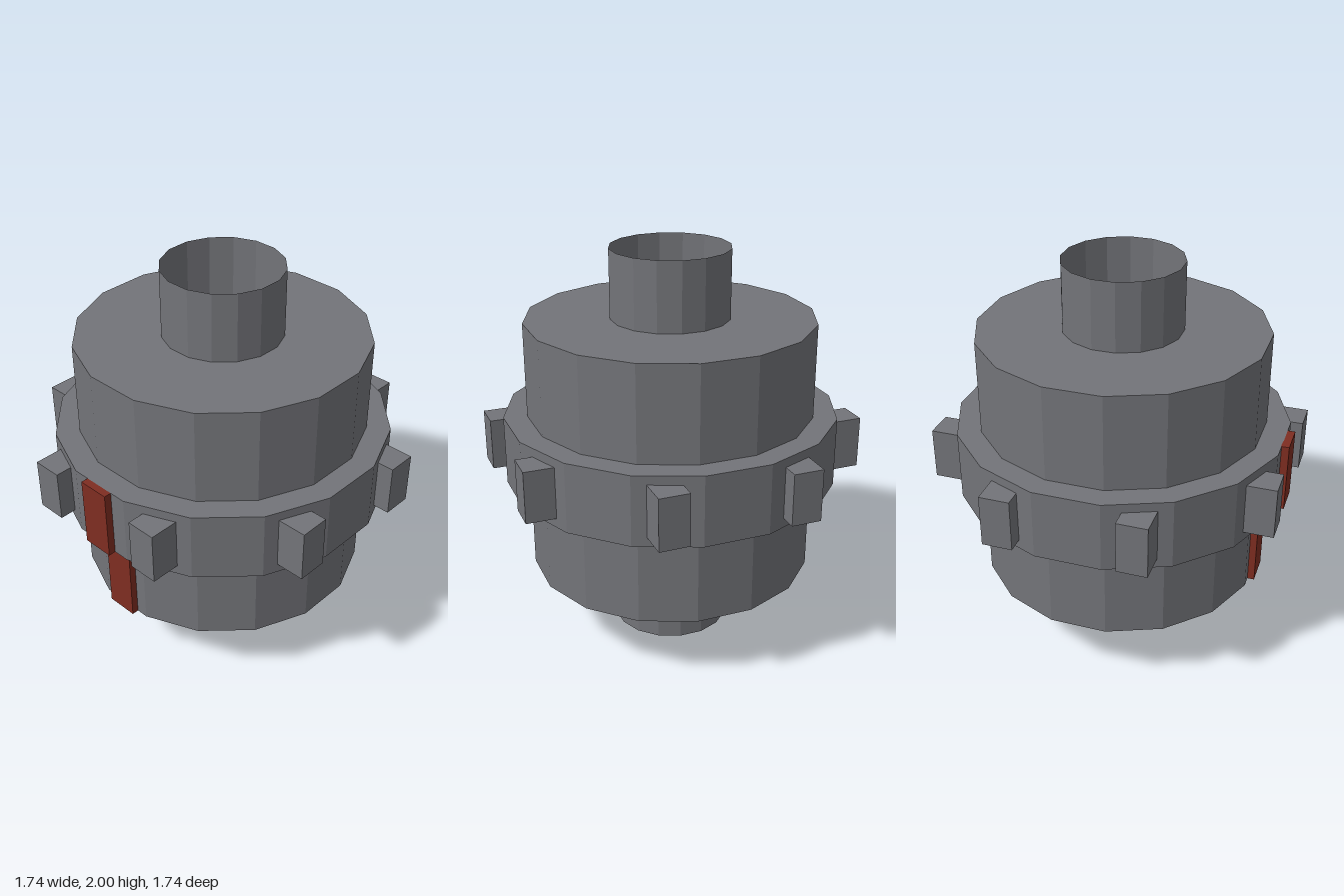
import * as THREE from 'three';

const SIDES = 16;

export function createModel() {
  const group = new THREE.Group();
  const steel = new THREE.MeshStandardMaterial({ color: 0x737479, flatShading: true, side: THREE.DoubleSide });
  steel.name = 'steel grey';
  const red = new THREE.MeshStandardMaterial({ color: 0x7f2d21, flatShading: true });
  red.name = 'rust red';

  const add = (name, geometry, material, x, y, z) => {
    const mesh = new THREE.Mesh(geometry, material);
    mesh.name = name;
    mesh.position.set(x, y, z);
    group.add(mesh);
  };

  // Upright faceted drum, turned so a flat side faces front
  const drum = (name, radius, y0, y1, open = false) =>
    add(name, new THREE.CylinderGeometry(radius, radius, y1 - y0, SIDES, 1, open, Math.PI / SIDES),
      steel, 0, (y0 + y1) / 2, 0);

  drum('body', 0.72, 0.36, 1.655);
  drum('middleBand', 0.838, 0.828, 1.18);

  // Open pipe stubs
  drum('topPipe', 0.298, 1.655, 2, true);
  drum('bottomPipe', 0.298, 0, 0.36, true);

  // Eight lugs around the band
  const lug = new THREE.BoxGeometry(0.15, 0.26, 0.15);
  for (const a of [-1, 1]) {
    for (const b of [-1, 1]) {
      add('lug', lug, steel, a * 0.325, 1.005, b * 0.795);
      add('lug', lug, steel, a * 0.795, 1.005, b * 0.325);
    }
  }

  // Red marker strips on the right side
  add('bandMarker', new THREE.BoxGeometry(0.04, 0.352, 0.16), red, -0.839, 1.004, 0);
  add('bodyMarker', new THREE.BoxGeometry(0.04, 0.468, 0.16), red, -0.721, 0.594, 0);

  return group;
}
